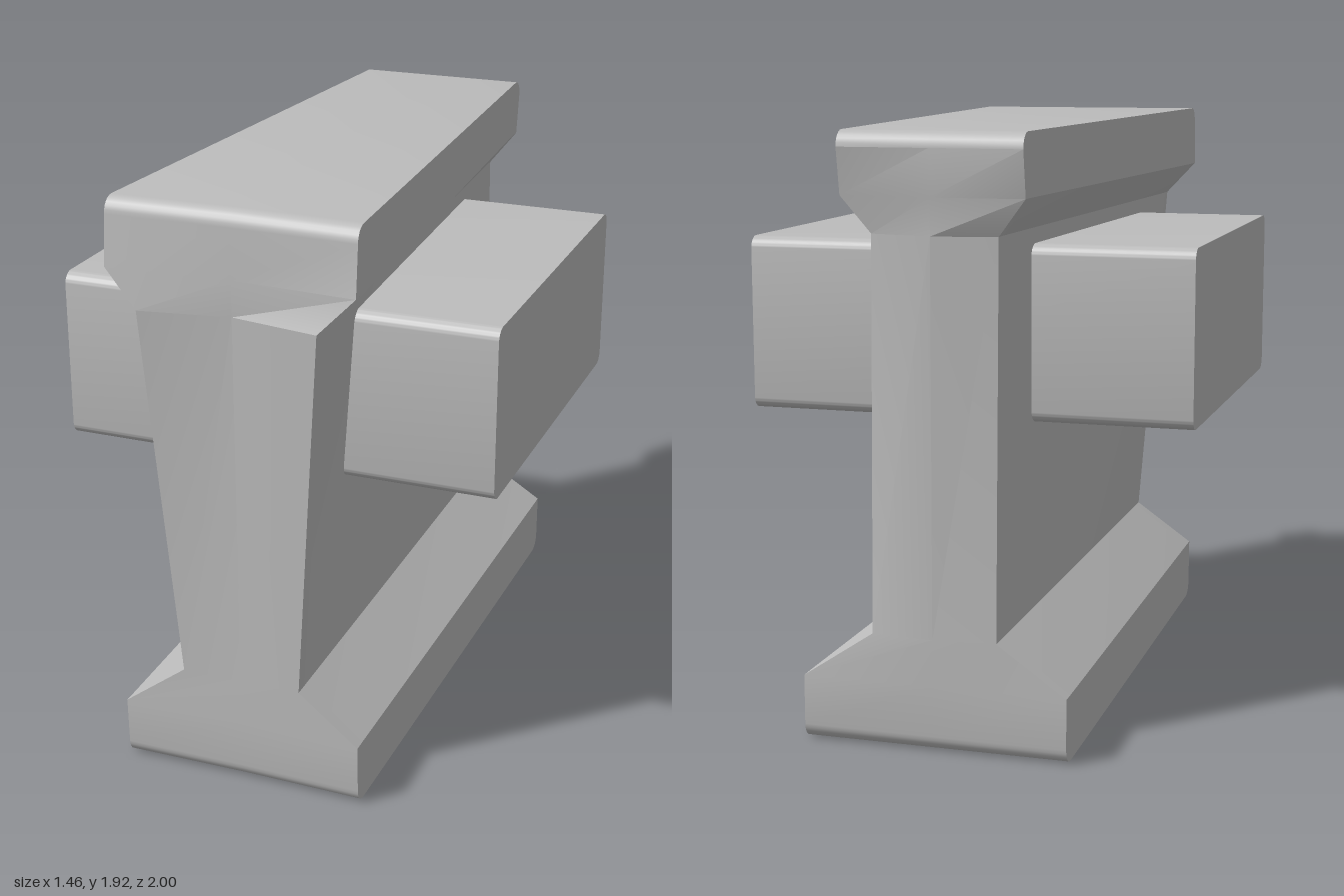
import * as THREE from 'three';
import { toCreasedNormals } from 'three/addons/utils/BufferGeometryUtils.js';

const ROUND = 0.05;
const STEPS = 6;

// End outlines, bottom to top: [half width, y, z at the side, z at the centre]
const FRONT = [
  [0.405, 0, 0.96, 0.955],
  [0.405, 0.21, 0.965, 0.955],
  [0.2, 0.36, 0.95, 0.95],
  [0.29, 1.595, 1.0, 0.95],
  [0.402, 1.71, 0.975, 0.95],
  [0.402, 1.92, 0.96, 0.95],
];
const BACK = [
  [0.425, 0, -1.0, -1.0],
  [0.425, 0.21, -1.0, -1.0],
  [0.2, 0.36, -0.985, -1.0],
  [0.2, 1.595, -0.95, -0.99],
  [0.29, 1.71, -0.975, -0.995],
  [0.29, 1.905, -1.0, -1.0],
];

// One cross-section; angle 0 is the end face, PI/2 is the full height
function section(rows, angle) {
  const clip = ROUND * (1 - Math.sin(angle));
  const inset = ROUND * (1 - Math.cos(angle)) * Math.sign(rows[0][2]);
  const last = rows.length - 1;
  const point = (side) => ([x, y, z, zMid], i) => {
    const py = i === 0 ? y + clip : i === last ? y - clip : y;
    return [x * side, py, (side ? z : zMid) - inset];
  };
  return { right: rows.map(point(1)), mid: rows.map(point(0)), left: rows.map(point(-1)) };
}

function beamGeometry() {
  const positions = [];
  const quad = (a, b, c, d) => positions.push(...a, ...b, ...c, ...a, ...c, ...d);
  const sections = [];
  for (let i = 0; i <= STEPS; i++) sections.push(section(FRONT, (i / STEPS) * Math.PI / 2));
  for (let i = STEPS; i >= 0; i--) sections.push(section(BACK, (i / STEPS) * Math.PI / 2));

  // Skin along the length
  const loops = sections.map((s) => [
    ...s.right, s.mid[s.mid.length - 1], ...[...s.left].reverse(), s.mid[0],
  ]);
  for (let i = 0; i < loops.length - 1; i++) {
    const a = loops[i], b = loops[i + 1];
    for (let j = 0; j < a.length; j++) {
      const k = (j + 1) % a.length;
      quad(a[j], b[j], b[k], a[k]);
    }
  }

  // Grooved front face and ridged back face
  const f = sections[0], r = sections[sections.length - 1];
  for (let i = 0; i < FRONT.length - 1; i++) {
    quad(f.mid[i], f.right[i], f.right[i + 1], f.mid[i + 1]);
    quad(f.left[i], f.mid[i], f.mid[i + 1], f.left[i + 1]);
    quad(r.right[i], r.mid[i], r.mid[i + 1], r.right[i + 1]);
    quad(r.mid[i], r.left[i], r.left[i + 1], r.mid[i + 1]);
  }

  const geometry = new THREE.BufferGeometry();
  geometry.setAttribute('position', new THREE.Float32BufferAttribute(positions, 3));
  return toCreasedNormals(geometry, 0.3);
}

// Block running across the beam, rounded along its long edges
function crossBlockGeometry(halfX, height, halfZ, r) {
  const h = height / 2;
  const shape = new THREE.Shape();
  shape.absarc(halfZ - r, h - r, r, 0, Math.PI / 2);
  shape.absarc(-halfZ + r, h - r, r, Math.PI / 2, Math.PI);
  shape.absarc(-halfZ + r, -h + r, r, Math.PI, Math.PI * 1.5);
  shape.absarc(halfZ - r, -h + r, r, Math.PI * 1.5, Math.PI * 2);
  const geometry = new THREE.ExtrudeGeometry(shape, {
    depth: halfX * 2, bevelEnabled: false, curveSegments: 6,
  });
  geometry.translate(0, 0, -halfX);
  geometry.rotateY(Math.PI / 2);
  return toCreasedNormals(geometry, 0.4);
}

export function createModel() {
  const group = new THREE.Group();
  const grey = new THREE.MeshStandardMaterial({ color: 0xbcbcbc });
  grey.name = 'grey';

  const beam = new THREE.Mesh(beamGeometry(), grey);
  beam.name = 'beam';
  group.add(beam);

  const block = new THREE.Mesh(crossBlockGeometry(0.73, 0.565, 0.645, 0.04), grey);
  block.name = 'crossBlock';
  block.position.y = 1.263;
  group.add(block);

  return group;
}
